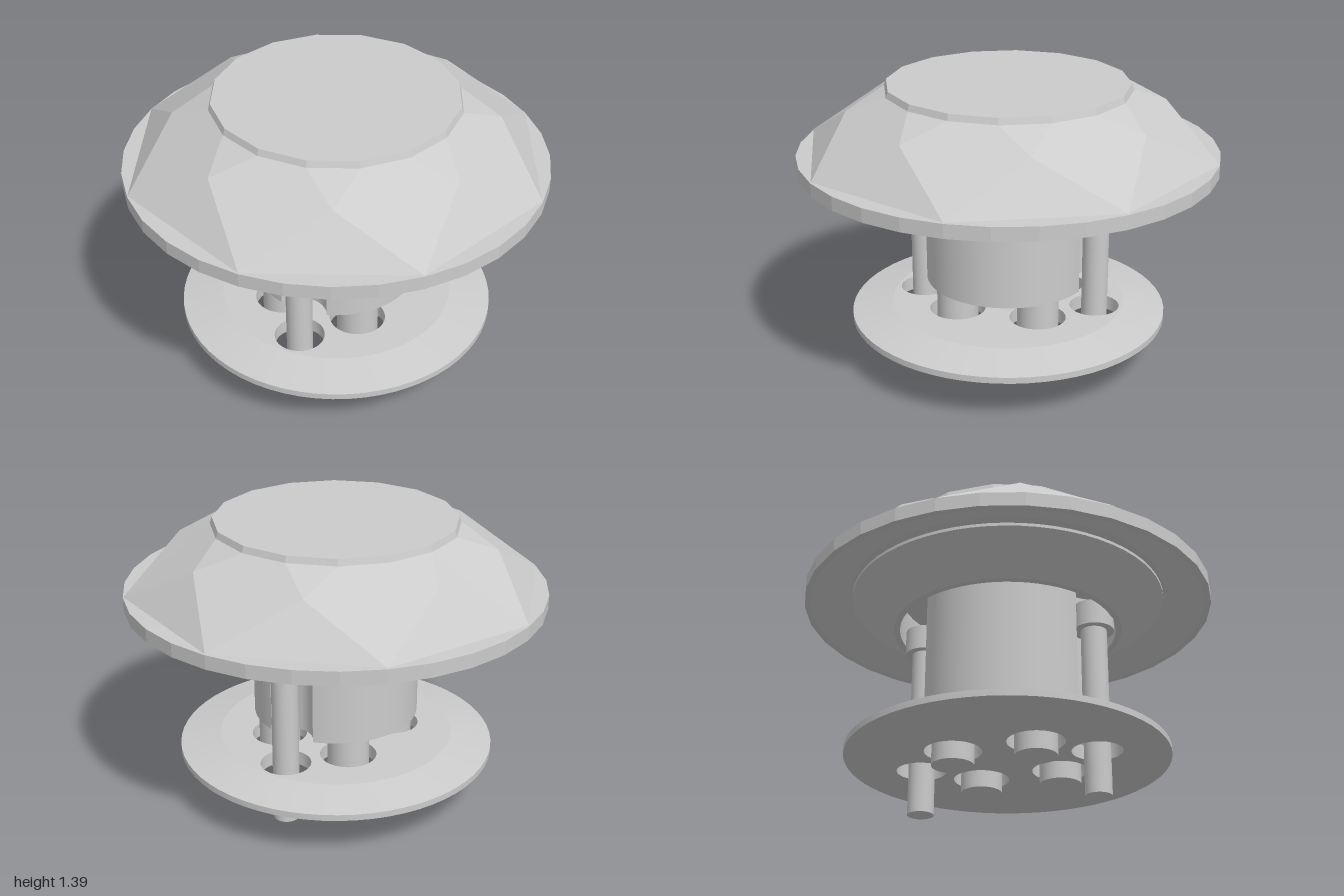
import * as THREE from 'three';
import { toCreasedNormals } from 'three/addons/utils/BufferGeometryUtils.js';

const smooth = new THREE.MeshStandardMaterial({ color: 0xcccccc });
const faceted = new THREE.MeshStandardMaterial({ color: 0xcccccc, flatShading: true });
const rad = THREE.MathUtils.degToRad;

export function createModel() {
  const group = new THREE.Group();
  const add = (name, geometry, material = smooth) => {
    const mesh = new THREE.Mesh(geometry, material);
    mesh.name = name;
    group.add(mesh);
    return mesh;
  };
  const lathe = (points, segments) =>
    new THREE.LatheGeometry(points.map(([r, y]) => new THREE.Vector2(r, y)), segments);
  const cylinder = (name, x, z, r, y0, y1, segments = 32) =>
    add(name, new THREE.CylinderGeometry(r, r, y1 - y0, segments)).position.set(x, (y0 + y1) / 2, z);
  // extrude a shape (x, z) downwards from a given height
  const slab = (shape, top, depth) => {
    const g = new THREE.ExtrudeGeometry(shape, { depth, bevelEnabled: false, curveSegments: 32 });
    g.rotateX(Math.PI / 2).translate(0, top, 0);
    return toCreasedNormals(g, 0.5);
  };

  // gem-cut crown: eight kites, with triangles between them
  const pos = [];
  const P = (deg, r, y) => [r * Math.cos(rad(deg)), y, -r * Math.sin(rad(deg))];
  const face = (...p) => {
    for (let i = 1; i < p.length - 1; i++) pos.push(...p[0], ...p[i], ...p[i + 1]);
  };
  const star = (d) => P(d, 0.998, 1.07);
  const mid = (d) => P(d, 0.757, 1.275);
  const upper = (d) => P(d, 0.585, 1.36);
  const lid = (d) => P(d, 0.575, 1.39);
  for (let a = 0; a < 360; a += 45) {
    face(star(a), mid(a + 22.5), upper(a + 11.25), upper(a - 11.25), mid(a - 22.5));
    face(mid(a + 22.5), upper(a + 33.75), upper(a + 11.25));
    face(star(a), star(a + 45), mid(a + 22.5));
  }
  // bevel and flat top
  for (let a = -11.25; a < 340; a += 22.5) {
    face(upper(a), upper(a + 22.5), lid(a + 22.5), lid(a));
    face([0, 1.39, 0], lid(a), lid(a + 22.5));
  }
  const crown = new THREE.BufferGeometry();
  crown.setAttribute('position', new THREE.Float32BufferAttribute(pos, 3));
  crown.computeVertexNormals();
  add('crown', crown, faceted);

  // rim band with the hollow underside
  add('rim', lathe([[0, 1.08], [0.78, 1.08], [0.97, 1], [1, 1], [1, 1.066], [0.9, 1.069]], 32), faceted);

  // tapered collar under the cap
  add('collar', toCreasedNormals(
    lathe([[0.53, 1.08], [0.53, 0.89], [0.56, 0.89], [0.77, 1.04], [0.77, 1.055], [0.7, 1.08]], 64), 0.5));

  // round body with a groove at front and back for the posts
  const postZ = 0.435, grooveR = 0.13, bodyR = 0.4;
  const cz = (bodyR ** 2 - grooveR ** 2 + postZ ** 2) / (2 * postZ);
  const cx = Math.sqrt(bodyR ** 2 - cz ** 2);
  const a = Math.atan2(cz, cx), b = Math.atan2(postZ - cz, cx);
  const body = new THREE.Shape();
  body.absarc(0, 0, bodyR, -a, a, false);
  body.absarc(0, postZ, grooveR, -b, b - Math.PI, true);
  body.absarc(0, 0, bodyR, Math.PI - a, Math.PI + a, false);
  body.absarc(0, -postZ, grooveR, Math.PI - b, b, true);
  add('body', slab(body, 1.08, 0.67));

  // backing plate: pierced disc plus sloping border
  const disc = new THREE.Shape().absarc(0, 0, 0.57, 0, Math.PI * 2, false);
  const hole = (x, z, r) =>
    disc.holes.push(new THREE.Path().absarc(x, z, r, 0, Math.PI * 2, true));

  // two long posts with collared heads
  for (const z of [postZ, -postZ]) {
    cylinder('post', 0, z, 0.063, 0, 0.9);
    cylinder('postHead', 0, z, 0.098, 0.835, 0.96);
    hole(0, z, 0.12);
  }
  // four short pins
  for (const x of [0.2, -0.2]) for (const z of [0.2, -0.2]) {
    cylinder('pin', x, z, 0.1, 0.15, 0.45);
    hole(x, z, 0.135);
  }
  add('plate', slab(disc, 0.29, 0.07));
  add('plateBorder', toCreasedNormals(
    lathe([[0.57, 0.22], [0.77, 0.22], [0.77, 0.25], [0.57, 0.29]], 64), 0.15));

  return group;
}
